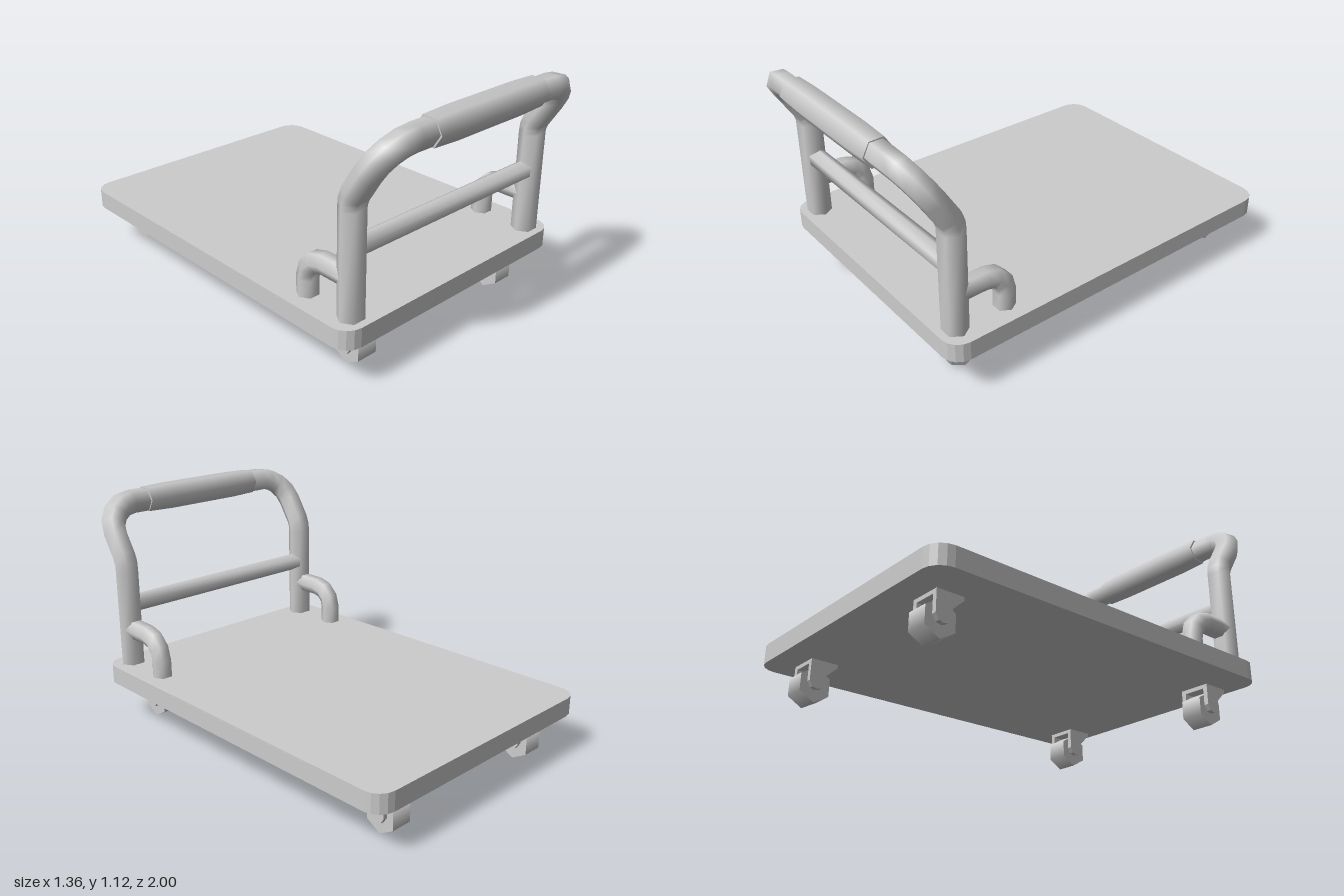
import * as THREE from 'three';

const grey = new THREE.MeshStandardMaterial({ color: 0xcccccc });
grey.name = 'light grey';

const V = (x, y, z) => new THREE.Vector3(x, y, z);

function part(name, geometry) {
  const mesh = new THREE.Mesh(geometry, grey);
  mesh.name = name;
  return mesh;
}

// Six-sided smooth tube along a path; normals[i] fixes the twist of each ring
function sweep(path, normals, r, flatten = 1, phase = 0) {
  const sides = 6, pos = [], idx = [];
  path.forEach((p, i) => {
    const t = path[Math.min(i + 1, path.length - 1)].clone()
      .sub(path[Math.max(i - 1, 0)]).normalize();
    const n = normals[i].clone().addScaledVector(t, -normals[i].dot(t)).normalize();
    const b = n.clone().cross(t);
    for (let j = 0; j < sides; j++) {
      const a = phase + (j / sides) * Math.PI * 2;
      const v = p.clone().addScaledVector(b, r * Math.cos(a))
        .addScaledVector(n, r * flatten * Math.sin(a));
      pos.push(v.x, v.y, v.z);
      if (i < path.length - 1) {
        const q = i * sides + j, s = i * sides + (j + 1) % sides;
        idx.push(q, s, s + sides, q, s + sides, q + sides);
      }
    }
  });
  const g = new THREE.BufferGeometry();
  g.setAttribute('position', new THREE.Float32BufferAttribute(pos, 3));
  g.setIndex(idx);
  g.computeVertexNormals();
  return g;
}

// Deck with clipped round corners
function deckGeometry() {
  const x = 0.68, z0 = -1, z1 = 0.86, r = 0.085, q = Math.PI / 2;
  const s = new THREE.Shape();
  s.absarc(x - r, z1 - r, r, 0, q);
  s.absarc(-x + r, z1 - r, r, q, 2 * q);
  s.absarc(-x + r, z0 + r, r, 2 * q, 3 * q);
  s.absarc(x - r, z0 + r, r, 3 * q, 4 * q);
  return new THREE.ExtrudeGeometry(s, { depth: 0.09, bevelEnabled: false, curveSegments: 2 })
    .rotateX(q).translate(0, 0.29, 0);
}

// U-shaped push handle, leaning forward above the knee
function handleGeometry() {
  const tilt = Math.atan2(0.146, 0.23), c = Math.cos(tilt), sn = Math.sin(tilt);
  const up = V(0, 0, 1), lean = V(0, -sn, c), mid = up.clone().add(lean).normalize();
  const X = 0.572, R = 0.15, top = 0.272;
  const half = [V(X, 0.25, 0.775), V(X, 0.77, 0.775), V(X, 0.8, 0.777), V(X, 0.835, 0.79)];
  const norm = [up, up, mid, lean];
  for (let k = 0; k <= 4; k++) {
    const a = (k / 4) * Math.PI / 2;
    const s = top - R + R * Math.sin(a);
    half.push(V(X - R + R * Math.cos(a), 0.83 + s * c, 0.787 + s * sn));
    norm.push(lean);
  }
  const other = half.map(p => V(-p.x, p.y, p.z)).reverse();
  return sweep([...half, ...other], [...norm, ...norm.slice().reverse()], 0.0625, 0.92);
}

// Side brace curving from the handle post down to the deck
function braceGeometry() {
  const path = [V(0, 0.472, 0.775), V(0, 0.472, 0.7)];
  for (let k = 0; k <= 3; k++) {
    const a = (k / 3) * Math.PI / 2;
    path.push(V(0, 0.372 + 0.1 * Math.cos(a), 0.623 - 0.1 * Math.sin(a)));
  }
  path.push(V(0, 0.25, 0.523));
  return sweep(path, path.map(() => V(1, 0, 0)), 0.05, 1, Math.PI / 6);
}

// Caster: six-sided wheel between two cheek plates under a top plate
function caster() {
  const g = new THREE.Group();
  g.name = 'caster';
  const wheel = new THREE.CylinderGeometry(0.08, 0.08, 0.104, 6, 1, false, Math.PI / 2)
    .rotateZ(Math.PI / 2).translate(0, 0.08, 0);
  g.add(part('wheel', wheel));
  const outline = [[0.09, 0.187], [0.09, 0.172], [0.038, 0.122], [0.036, 0.085], [0.022, 0.062],
    [0, 0.055], [-0.022, 0.062], [-0.038, 0.088], [-0.038, 0.187]];
  const cheek = new THREE.Shape(outline.map(([z, y]) => new THREE.Vector2(-z, y)));
  for (const side of [-1, 1]) {
    const geo = new THREE.ExtrudeGeometry(cheek, { depth: 0.022, bevelEnabled: false })
      .rotateY(Math.PI / 2).translate(side * 0.063 - 0.011, 0, 0);
    g.add(part('forkCheek', geo));
  }
  g.add(part('forkTop', new THREE.BoxGeometry(0.148, 0.018, 0.128).translate(0, 0.178, 0.026)));
  return g;
}

export function createModel() {
  const model = new THREE.Group();
  model.name = 'platformCart';
  model.add(part('deck', deckGeometry()));
  model.add(part('handle', handleGeometry()));
  model.add(part('crossbar', sweep([V(-0.56, 0.595, 0.772), V(0.56, 0.595, 0.772)],
    [V(0, 0, 1), V(0, 0, 1)], 0.046)));

  // Slightly swollen grip with closed ends
  const grip = new THREE.Group();
  grip.name = 'grip';
  const profile = [[0.067, -0.34], [0.072, -0.2], [0.072, 0.2], [0.067, 0.34]];
  grip.add(part('gripSleeve', new THREE.LatheGeometry(
    profile.map(([r, y]) => new THREE.Vector2(r, y)), 6).rotateZ(Math.PI / 2)));
  for (const side of [-1, 1]) {
    grip.add(part('gripEnd', new THREE.CircleGeometry(0.067, 6)
      .rotateY(side * Math.PI / 2).translate(side * 0.34, 0, 0)));
  }
  grip.rotation.x = 0.04;
  grip.position.set(0, 1.06, 0.932);
  model.add(grip);

  // Mirrored braces and casters
  for (const side of [-1, 1]) {
    const brace = part('sideBrace', braceGeometry());
    brace.position.x = side * 0.573;
    model.add(brace);
    for (const z of [0.69, -0.85]) {
      const c = caster();
      c.position.set(side * 0.458, 0, z);
      model.add(c);
    }
  }
  return model;
}
